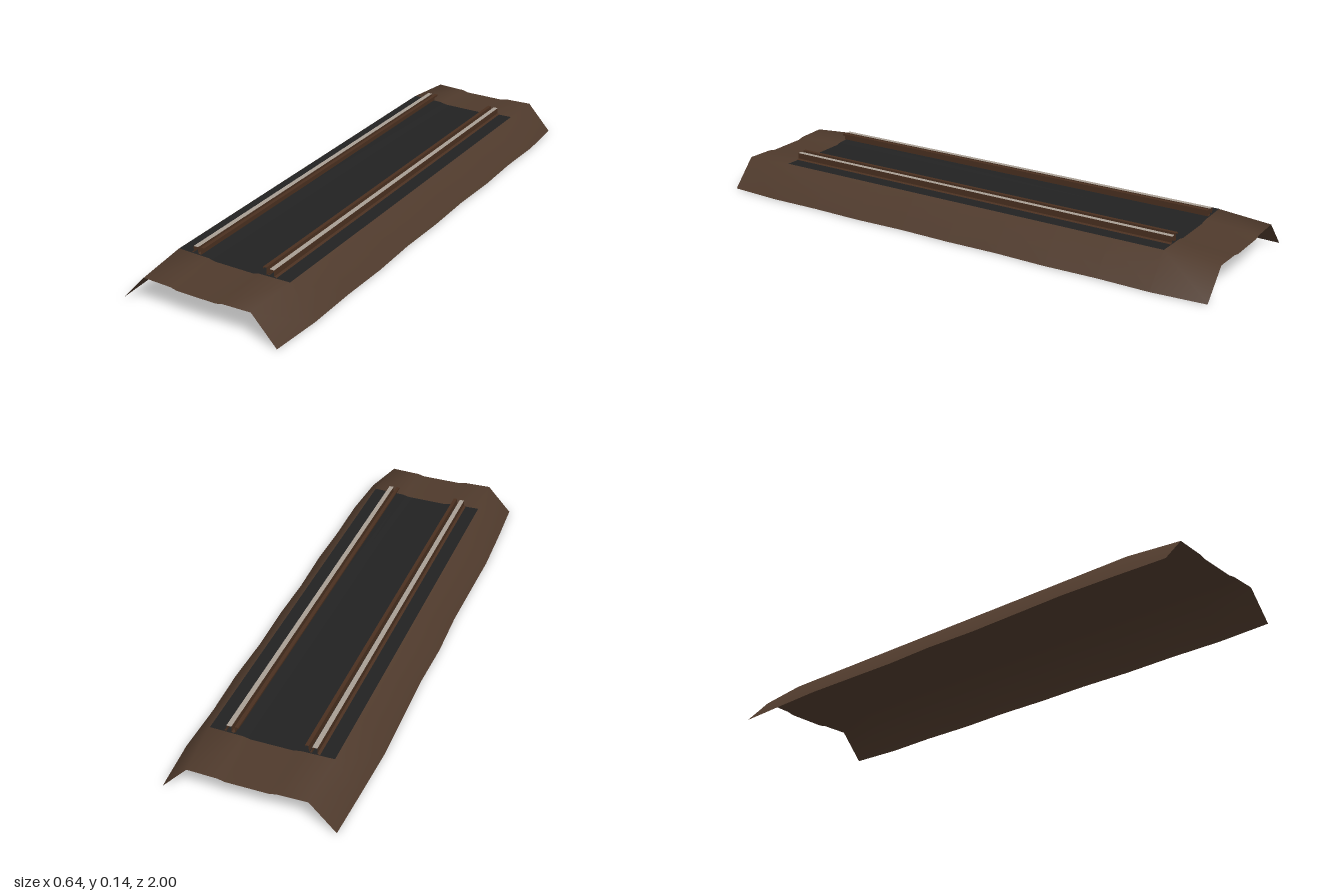
import * as THREE from 'three';

const material = (name, color) => {
  const m = new THREE.MeshStandardMaterial({ color, side: THREE.DoubleSide });
  m.name = name;
  return m;
};

// Open sheet lofted through equal-length cross-sections of [x, y] at each z
function loft(name, stations, section, mat) {
  const positions = [], index = [];
  const n = section(stations[0], 0).length;
  stations.forEach((z, i) => section(z, i).forEach(([x, y]) => positions.push(x, y, z)));
  for (let i = 0; i < stations.length - 1; i++) {
    for (let j = 0; j < n - 1; j++) {
      const a = i * n + j, b = a + 1, c = a + n, d = c + 1;
      index.push(a, c, b, b, c, d);
    }
  }
  const g = new THREE.BufferGeometry();
  g.setAttribute('position', new THREE.Float32BufferAttribute(positions, 3));
  g.setIndex(index);
  g.computeVertexNormals();
  const mesh = new THREE.Mesh(g, mat);
  mesh.name = name;
  return mesh;
}

export function createModel() {
  const model = new THREE.Group();
  model.name = 'railwayEmbankment';
  const earth = material('earth brown', 0x4f3a2c);
  const gravel = material('ballast black', 0x222222);
  const rust = material('rusty steel', 0x4a3020);
  const steel = material('polished steel', 0xa89e94);

  // Earth bank: sunken crown, steep flanks, slightly uneven foot, lower ends
  const stations = Array.from({ length: 11 }, (_, i) => -1 + i * 0.2);
  const leftFoot = [0.305, 0.318, 0.313, 0.318, 0.312, 0.316, 0.312, 0.318, 0.314, 0.317, 0.305];
  const rightFoot = [0.305, 0.314, 0.322, 0.318, 0.314, 0.32, 0.314, 0.318, 0.322, 0.315, 0.305];
  model.add(loft('embankment', stations, (z, i) => {
    const end = i === 0 || i === 10;
    const drop = end ? 0.011 : 0;
    const shoulder = end ? 0.211 : 0.225;
    return [
      [-rightFoot[i], 0], [-shoulder, 0.113 - drop], [-0.102, 0.11 - drop], [-0.076, 0.104 - drop],
      [0.076, 0.104 - drop], [0.102, 0.11 - drop], [shoulder, 0.113 - drop], [leftFoot[i], 0],
    ];
  }, earth));

  // Ballast bed following the crown
  const run = [-0.8, 0.8];
  model.add(loft('ballastBed', run, () => [
    [-0.222, 0.115], [-0.102, 0.1125], [-0.076, 0.1065],
    [0.076, 0.1065], [0.102, 0.1125], [0.222, 0.115],
  ], gravel));

  // Rails with rusty flanks and polished heads, plus inner guard rails
  for (const side of [-1, 1]) {
    const strip = (name, points, mat) =>
      loft(name, run, () => points.map(([x, y]) => [side * x, y]), mat);
    const rail = new THREE.Group();
    rail.name = side > 0 ? 'leftRail' : 'rightRail';
    for (const s of [-1, 1]) {
      rail.add(strip('railFlange', [[0.152 + s * 0.018, 0.116], [0.152 + s * 0.009, 0.119]], rust));
      rail.add(strip('railWeb', [[0.152 + s * 0.009, 0.119], [0.152 + s * 0.009, 0.141]], rust));
    }
    rail.add(strip('railHead', [[0.143, 0.141], [0.161, 0.141]], steel));
    rail.add(strip('guardOuterFace', [[0.131, 0.116], [0.131, 0.143]], rust));
    rail.add(strip('guardTop', [[0.131, 0.143], [0.118, 0.143]], rust));
    rail.add(strip('guardLip', [[0.118, 0.143], [0.118, 0.136]], rust));
    model.add(rail);
  }
  return model;
}
